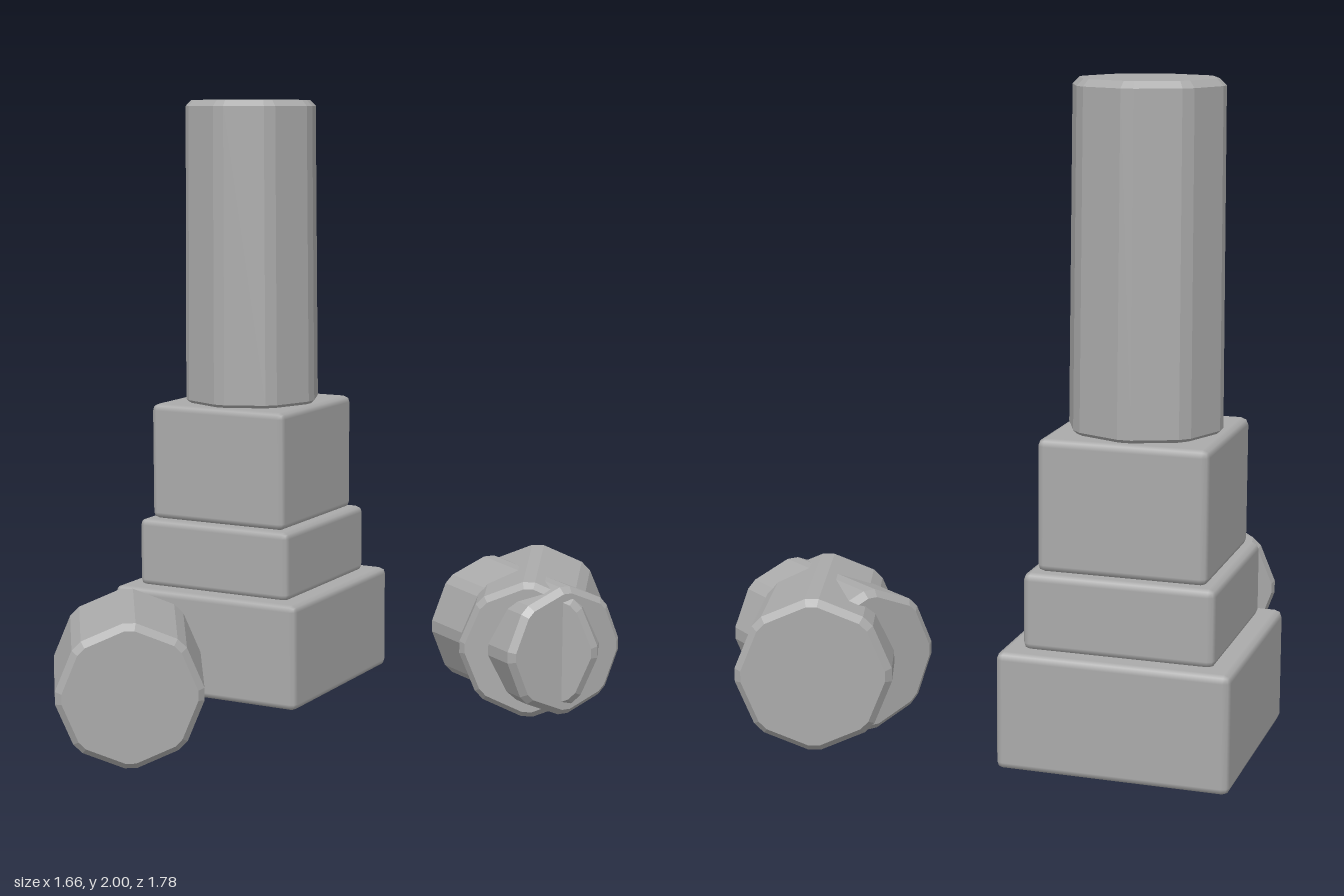
import * as THREE from 'three';
import { RoundedBoxGeometry } from 'three/addons/geometries/RoundedBoxGeometry.js';

const stone = new THREE.MeshStandardMaterial({ color: 0xaaaaaa });
stone.name = 'grey stone';

// Eight-sided shaft along z with chamfered edges, radius r0 at -z tapering to r1 at +z
function shaftGeometry(r0, r1, length, bevel = 0.02) {
  const points = [];
  const chamfer = 0.087;
  for (let i = 0; i < 8; i++) {
    for (const side of [-1, 1]) {
      const a = i * Math.PI / 4 + side * chamfer;
      const r = 1 / Math.cos(chamfer);
      points.push(new THREE.Vector2(Math.cos(a) * r * r0, Math.sin(a) * r * r0));
    }
  }
  const geometry = new THREE.ExtrudeGeometry(new THREE.Shape(points), {
    depth: length - 2 * bevel, bevelEnabled: true, bevelSegments: 1,
    bevelThickness: bevel, bevelSize: bevel, bevelOffset: -bevel,
  });
  geometry.translate(0, 0, bevel - length / 2);
  const p = geometry.attributes.position;
  for (let i = 0; i < p.count; i++) {
    const k = THREE.MathUtils.lerp(1, r1 / r0, p.getZ(i) / length + 0.5);
    p.setXY(i, p.getX(i) * k, p.getY(i) * k);
  }
  geometry.computeVertexNormals();
  return geometry;
}

function addMesh(parent, name, geometry, x, y, z) {
  const mesh = new THREE.Mesh(geometry, stone);
  mesh.name = name;
  mesh.position.set(x, y, z);
  parent.add(mesh);
  return mesh;
}

export function createModel() {
  const model = new THREE.Group();
  model.name = 'ruinedColumn';

  // Stepped pedestal and standing shaft
  const standing = new THREE.Group();
  standing.name = 'standingColumn';
  standing.position.set(-0.49, 0, -0.405);
  model.add(standing);
  const steps = [
    ['pedestalBase', 0.7, 0.005, 0.36],
    ['pedestalMiddle', 0.575, 0.355, 0.587],
    ['pedestalTop', 0.51, 0.585, 0.98],
  ];
  for (const [name, width, y0, y1] of steps) {
    addMesh(standing, name, new RoundedBoxGeometry(width, y1 - y0, width, 1, 0.022), 0, (y0 + y1) / 2, 0);
  }
  const shaft = shaftGeometry(0.23, 0.223, 1.03);
  shaft.rotateX(-Math.PI / 2);
  addMesh(standing, 'columnShaft', shaft, 0, 1.485, 0);

  // Fallen drums: name, x, z, axis direction (x, z), back radius, front radius, length
  const drums = [
    ['fallenDrumFront', -0.376, 0.585, 0.55, 0.83, 0.232, 0.222, 0.455],
    ['fallenDrumBackLong', 0.5, -0.55, 0.32, 0.946, 0.234, 0.222, 0.575],
    ['fallenDrumBackShort', 0.5, -0.48, 0.805, 0.59, 0.22, 0.21, 0.515],
  ];
  for (const [name, x, z, dx, dz, r0, r1, length] of drums) {
    const drum = addMesh(model, name, shaftGeometry(r0, r1, length), x, 0.245, z);
    drum.rotation.y = Math.atan2(dx, dz);
  }

  // Rest the base on the ground
  standing.position.y = -0.005;
  standing.scale.y = 2.005 / 2;
  return model;
}
